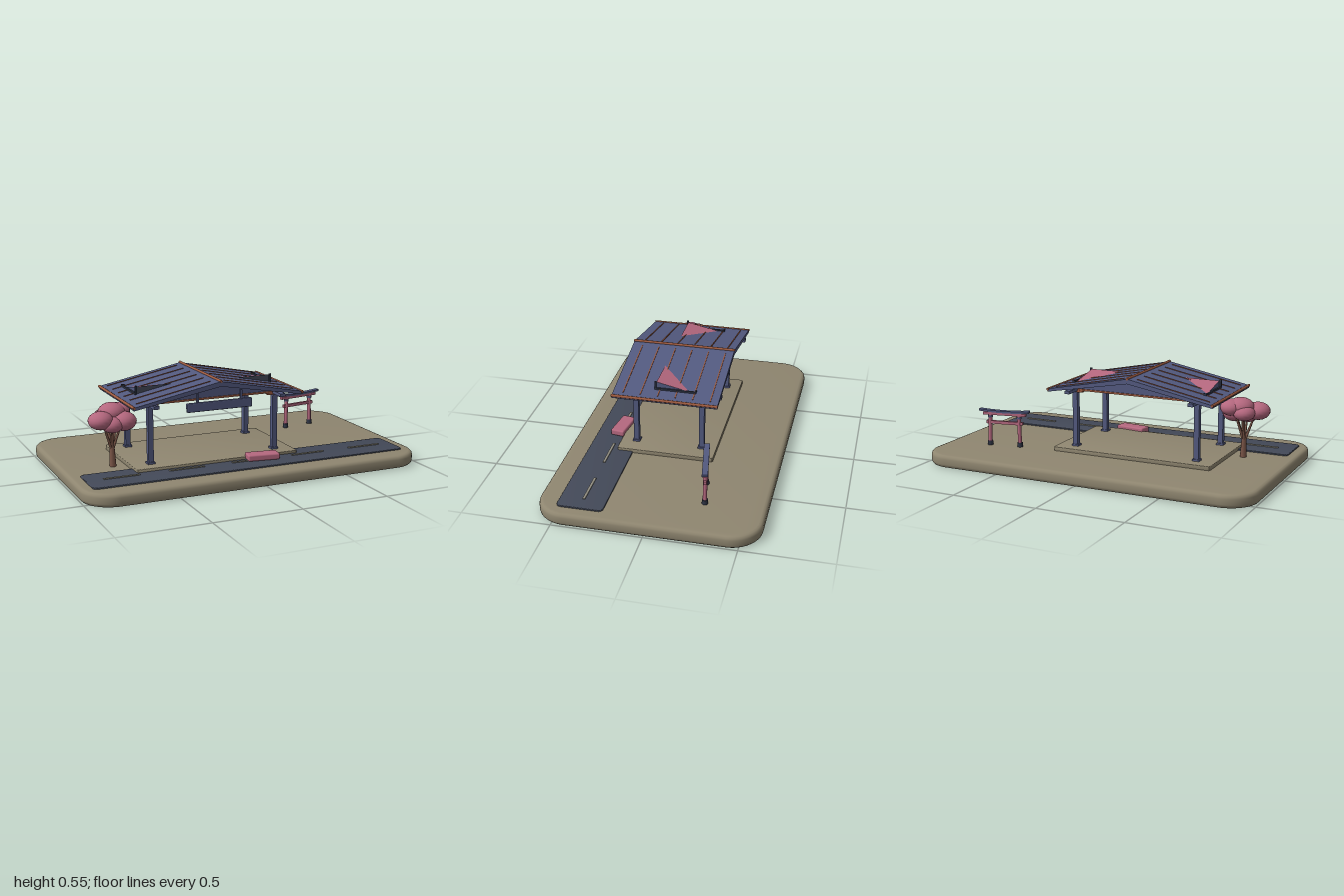
import * as THREE from 'three';
import { toCreasedNormals } from 'three/addons/utils/BufferGeometryUtils.js';
import { RoundedBoxGeometry } from 'three/addons/geometries/RoundedBoxGeometry.js';

const mat = (name, color, side = THREE.FrontSide) => {
  const m = new THREE.MeshStandardMaterial({ color, side });
  m.name = name;
  return m;
};

export function createModel() {
  const root = new THREE.Group();
  root.name = 'roadsideShelter';
  const sand = mat('sand', 0x8f8670);
  const navy = mat('slate blue', 0x535a80, THREE.DoubleSide);
  const pink = mat('rose', 0xb5687f, THREE.DoubleSide);
  const copper = mat('copper', 0x9c5a40);
  const bark = mat('bark', 0x7a5547);
  const asphalt = mat('asphalt', 0x434958, THREE.DoubleSide);
  const paint = mat('road paint', 0x8f8c80);
  const dark = mat('dark trim', 0x2f3545);

  const add = (parent, name, geo, material, x = 0, y = 0, z = 0) => {
    const m = new THREE.Mesh(geo, material);
    m.name = name;
    m.position.set(x, y, z);
    parent.add(m);
    return m;
  };
  const group = (name, x = 0, y = 0, z = 0) => {
    const g = new THREE.Group();
    g.name = name;
    g.position.set(x, y, z);
    root.add(g);
    return g;
  };
  const box = (w, h, d) => new THREE.BoxGeometry(w, h, d);
  // Cylinder between two points
  const rod = (parent, name, a, b, r0, r1, material, sides = 10) => {
    const p = new THREE.Vector3(...a), q = new THREE.Vector3(...b);
    const dir = q.clone().sub(p);
    const m = add(parent, name, new THREE.CylinderGeometry(r1, r0, dir.length(), sides), material);
    m.position.copy(p).add(q).multiplyScalar(0.5);
    m.quaternion.setFromUnitVectors(new THREE.Vector3(0, 1, 0), dir.normalize());
    return m;
  };
  // Flat slab with rounded corners and softened rims, resting on y = 0
  const slab = (w, d, h, r, bevel) => {
    const x = w / 2 - bevel, y = d / 2 - bevel, c = r - bevel;
    const s = new THREE.Shape();
    s.absarc(x - c, y - c, c, 0, Math.PI / 2);
    s.absarc(-x + c, y - c, c, Math.PI / 2, Math.PI);
    s.absarc(-x + c, -y + c, c, Math.PI, Math.PI * 1.5);
    s.absarc(x - c, -y + c, c, Math.PI * 1.5, Math.PI * 2);
    const g = new THREE.ExtrudeGeometry(s, {
      depth: h - 2 * bevel, bevelEnabled: true, bevelSize: bevel,
      bevelThickness: bevel, bevelSegments: 3, curveSegments: 8,
    });
    g.rotateX(-Math.PI / 2).translate(0, bevel, 0);
    return toCreasedNormals(g, 0.6);
  };

  // Ground, road and centre dashes
  add(root, 'ground', slab(2, 1.21, 0.074, 0.17, 0.022), sand);
  add(root, 'road', slab(1.87, 0.255, 0.014, 0.025, 0.003), asphalt, -0.005, 0.068, 0.362);
  for (let i = -2; i <= 2; i++)
    add(root, 'roadDash', box(0.205, 0.005, 0.014), paint, i * 0.372, 0.0845, 0.36);
  add(root, 'platform', slab(0.97, 0.555, 0.028, 0.012, 0.003), sand, -0.16, 0.07, 0.047);

  // Shelter frame, centred under the ridge
  const shelter = group('shelter', -0.16);
  for (const s of [-1, 1]) {
    for (const z of [0.235, -0.147]) {
      add(shelter, 'post', box(0.03, 0.36, 0.03), navy, s * 0.377, 0.277, z);
      add(shelter, 'postFoot', box(0.042, 0.012, 0.042), navy, s * 0.377, 0.103, z);
      add(shelter, 'postBracket', box(0.05, 0.01, 0.03), copper, s * 0.355, 0.424, z);
    }
    add(shelter, 'sideBeam', box(0.03, 0.018, 0.605), navy, s * 0.377, 0.434, 0.045);
  }

  // Gable panels and cross beams
  const gable = new THREE.Shape([[-0.41, 0.438], [0.41, 0.438], [0, 0.525]].map(p => new THREE.Vector2(...p)));
  for (const z of [0.235, -0.147]) {
    add(shelter, 'gablePanel', new THREE.ExtrudeGeometry(gable, { depth: 0.012, bevelEnabled: false }), navy, 0, 0, z - 0.006);
    add(shelter, 'crossBeam', box(0.82, 0.01, 0.026), copper, 0, 0.434, z);
  }

  // Pitched roof with ridge, gutters and thin seams
  const pitch = Math.atan2(0.1, 0.503);
  const roofY = d => 0.545 - d * 0.1 / 0.503;
  const profile = new THREE.Shape([[0, 0.545], [-0.503, 0.445], [-0.503, 0.428],
    [0, 0.517], [0.503, 0.428], [0.503, 0.445]].map(p => new THREE.Vector2(...p)));
  add(shelter, 'roof', new THREE.ExtrudeGeometry(profile, { depth: 0.6, bevelEnabled: false }), navy, 0, 0, -0.257);
  rod(shelter, 'ridgeCap', [0, 0.546, -0.259], [0, 0.546, 0.345], 0.008, 0.008, copper);
  for (const s of [-1, 1]) {
    rod(shelter, 'gutter', [s * 0.502, 0.443, -0.259], [s * 0.502, 0.443, 0.345], 0.008, 0.008, copper);
    for (let i = 0; i < 6; i++) {
      const seam = add(shelter, 'roofSeam', box(0.44, 0.005, 0.006), copper, s * 0.255, roofY(0.255) + 0.001, -0.21 + i * 0.099);
      seam.rotation.z = -s * pitch;
    }

    // Wedge dormer: sloping top, end wall and outer wall
    const low = roofY(0.405), high = roofY(0.2);
    const A = [s * 0.405, high, 0.108], B = [s * 0.405, low, -0.078];
    const C = [s * 0.2, high, 0.108], D = [s * 0.405, low, 0.108];
    const tri = (a, b, c) => {
      const g = new THREE.BufferGeometry();
      const pts = s > 0 ? [a, b, c] : [a, c, b];
      g.setAttribute('position', new THREE.Float32BufferAttribute(pts.flat(), 3));
      g.computeVertexNormals();
      return g;
    };
    add(shelter, 'dormerRoof', tri(A, B, C), pink);
    add(shelter, 'dormerEndWall', tri(A, C, D), asphalt);
    add(shelter, 'dormerSideWall', tri(A, D, B), navy);
    add(shelter, 'dormerSill', box(0.01, 0.012, 0.236), dark, s * 0.412, low + 0.002, 0);
    add(shelter, 'dormerJamb', box(0.012, 0.05, 0.01), dark, s * 0.411, low + 0.022, 0.113);
    add(shelter, 'dormerStop', box(0.018, 0.014, 0.008), dark, s * 0.407, low + 0.004, -0.116);
  }

  // Blank hanging board
  add(shelter, 'hangingBoard', new RoundedBoxGeometry(0.388, 0.05, 0.024, 2, 0.005), navy, 0.001, 0.409, 0.318);
  for (const s of [-1, 1]) add(shelter, 'boardHanger', box(0.012, 0.06, 0.012), navy, s * 0.13, 0.455, 0.318);

  // Small vehicle on the road
  const vehicle = add(root, 'vehicle', new RoundedBoxGeometry(0.185, 0.036, 0.082, 3, 0.009), pink, 0.087, 0.1, 0.355);
  vehicle.rotation.y = -0.14;

  // Gate with two posts, tie beam and upturned lintel
  const gate = group('gate', 0.637, 0, -0.257);
  gate.rotation.y = 0.17;
  for (const s of [-1, 1]) {
    rod(gate, 'gatePost', [s * 0.094, 0.08, 0], [s * 0.09, 0.268, 0], 0.012, 0.011, pink, 14);
    rod(gate, 'gatePostFoot', [s * 0.094, 0.072, 0], [s * 0.094, 0.1, 0], 0.017, 0.016, dark, 14);
    rod(gate, 'gatePostCollar', [s * 0.091, 0.243, 0], [s * 0.091, 0.254, 0], 0.015, 0.015, navy, 14);
  }
  add(gate, 'tieBeam', box(0.228, 0.018, 0.016), pink, 0, 0.213, 0);
  add(gate, 'lowerLintel', box(0.265, 0.016, 0.024), pink, 0, 0.266, 0);
  const lintel = box(0.31, 0.012, 0.032).toNonIndexed();
  lintel.dispose();
  const cap = new THREE.BoxGeometry(0.31, 0.012, 0.032, 12, 1, 1);
  const p = cap.attributes.position;
  for (let i = 0; i < p.count; i++) p.setY(i, p.getY(i) + 0.3 * p.getX(i) ** 2);
  cap.computeVertexNormals();
  add(gate, 'upperLintel', cap, navy, 0, 0.279, 0);

  // Tree: trunk, branches and leaf clumps
  const tree = group('tree', -0.715, 0, 0.122);
  rod(tree, 'trunk', [0, 0.07, 0], [-0.002, 0.19, -0.003], 0.019, 0.013, bark);
  const clumps = [
    [-0.072, 0.345, 0.025, 0.07], [0.01, 0.372, -0.035, 0.076], [0.06, 0.328, 0.015, 0.074],
    [-0.01, 0.318, 0.035, 0.062], [0.055, 0.37, -0.06, 0.066], [-0.02, 0.345, -0.065, 0.062],
  ];
  for (const [x, y, z, r] of clumps) {
    rod(tree, 'branch', [-0.002, 0.16, -0.002], [x * 0.8, y - 0.02, z * 0.8], 0.009, 0.005, bark, 8);
    add(tree, 'leafClump', new THREE.SphereGeometry(r, 18, 12), pink, x, y, z).scale.y = 0.72;
  }
  return root;
}
